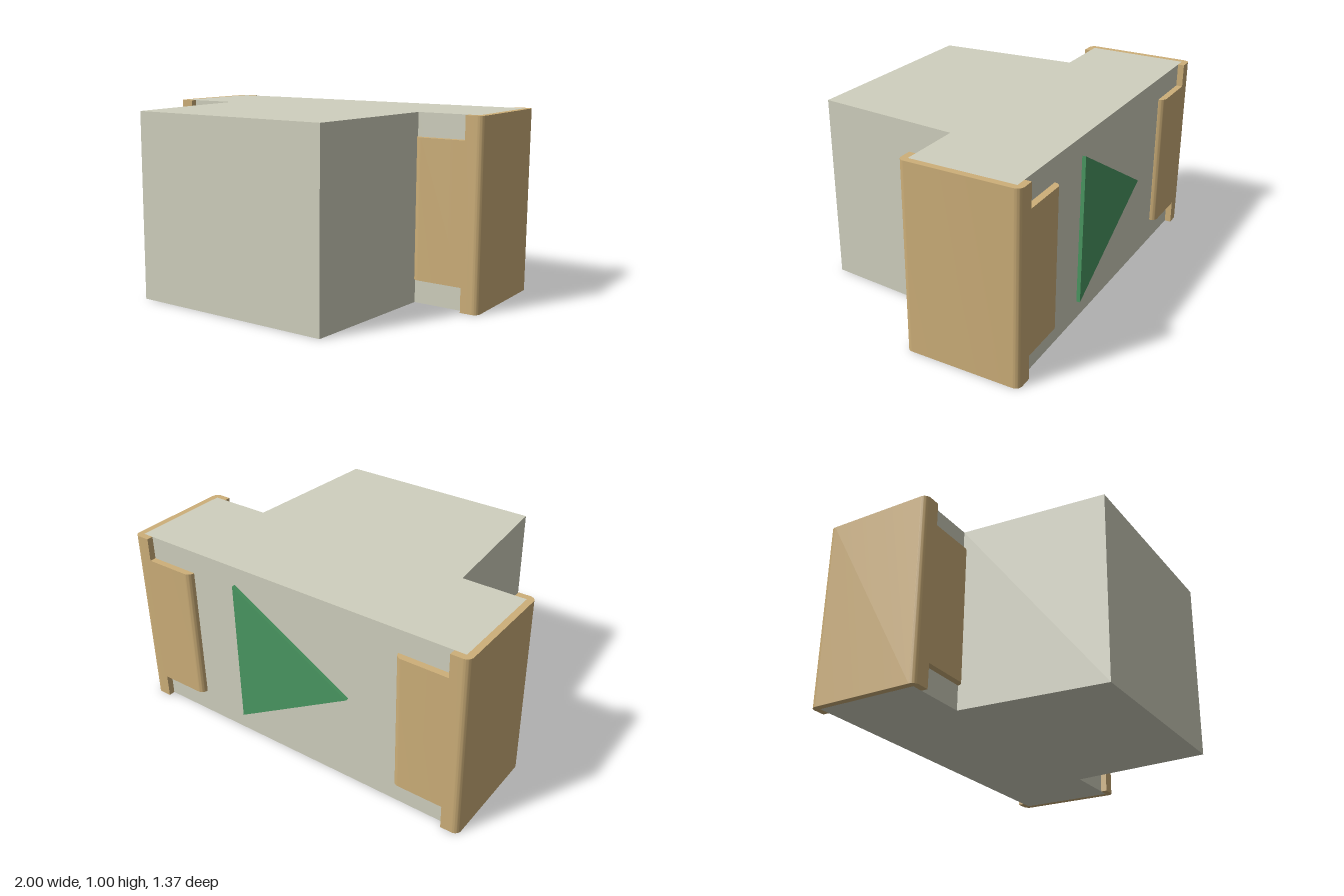
import * as THREE from 'three';
import { toCreasedNormals } from 'three/addons/utils/BufferGeometryUtils.js';

const bodyMat = new THREE.MeshStandardMaterial({ color: 0xd0d0be });
const metalMat = new THREE.MeshStandardMaterial({ color: 0xcdaf79 });
const markMat = new THREE.MeshStandardMaterial({ color: 0x4a9862 });

// Plan outline (x, -z) raised from y0 to y1
function raise(shape, y0, y1) {
  const geo = new THREE.ExtrudeGeometry(shape, { depth: y1 - y0, bevelEnabled: false, curveSegments: 8 });
  geo.rotateX(-Math.PI / 2).translate(0, y0, 0);
  return toCreasedNormals(geo, 0.6);
}

function part(name, geo, mat) {
  const mesh = new THREE.Mesh(geo, mat);
  mesh.name = name;
  return mesh;
}

function polygon(points) {
  return new THREE.Shape(points.map(([x, y]) => new THREE.Vector2(x, y)));
}

// Wrap-around end clip, centred on its own z
function createTerminal() {
  const group = new THREE.Group();
  const outer = 1, inner = 0.965, lip = 0.905, tabEnd = 0.625;
  const h = 0.31, hi = 0.275, r = 0.035;

  // full-height C-shaped channel with rounded outer corners
  const c = new THREE.Shape();
  c.moveTo(lip, -h);
  c.lineTo(outer - r, -h);
  c.absarc(outer - r, -h + r, r, -Math.PI / 2, 0, false);
  c.lineTo(outer, h - r);
  c.absarc(outer - r, h - r, r, 0, Math.PI / 2, false);
  c.lineTo(lip, h);
  c.lineTo(lip, hi);
  c.lineTo(inner, hi);
  c.lineTo(inner, -hi);
  c.lineTo(lip, -hi);
  c.closePath();
  group.add(part('terminalChannel', raise(c, 0, 1), metalMat));

  // shorter tabs with a rounded free edge, front and back
  const t = new THREE.Shape();
  t.moveTo(lip, hi);
  t.lineTo(lip, h);
  t.lineTo(tabEnd + r, h);
  t.absarc(tabEnd + r, h - r, r, Math.PI / 2, Math.PI, false);
  t.closePath();
  const backTab = raise(t, 0.13, 0.875);
  group.add(part('terminalBackTab', backTab, metalMat));
  const mirrored = polygon(t.getPoints(8).map((p) => [p.x, -p.y]));
  group.add(part('terminalFrontTab', raise(mirrored, 0.13, 0.875), metalMat));
  return group;
}

export function createModel() {
  const model = new THREE.Group();
  model.name = 'component';

  // T-shaped block with a tapering front
  const body = polygon([
    [-0.565, -0.685], [0.565, -0.685], [0.625, 0.1], [0.965, 0.1],
    [0.965, 0.65], [-0.965, 0.65], [-0.965, 0.1], [-0.625, 0.1],
  ]);
  model.add(part('body', raise(body, 0, 1), bodyMat));

  // end clips, the right one turned half round
  for (const [name, turn] of [['leftTerminal', 0], ['rightTerminal', Math.PI]]) {
    const terminal = createTerminal();
    terminal.name = name;
    terminal.position.z = -0.375;
    terminal.rotation.y = turn;
    model.add(terminal);
  }

  // raised triangle on the back, pointing to the right side
  const triangle = polygon([[0.345, 0.1], [0.345, 0.9], [-0.345, 0.5]]);
  const marker = part('backTriangle',
    new THREE.ExtrudeGeometry(triangle, { depth: 0.02, bevelEnabled: false }), markMat);
  marker.position.z = -0.67;
  model.add(marker);

  return model;
}
